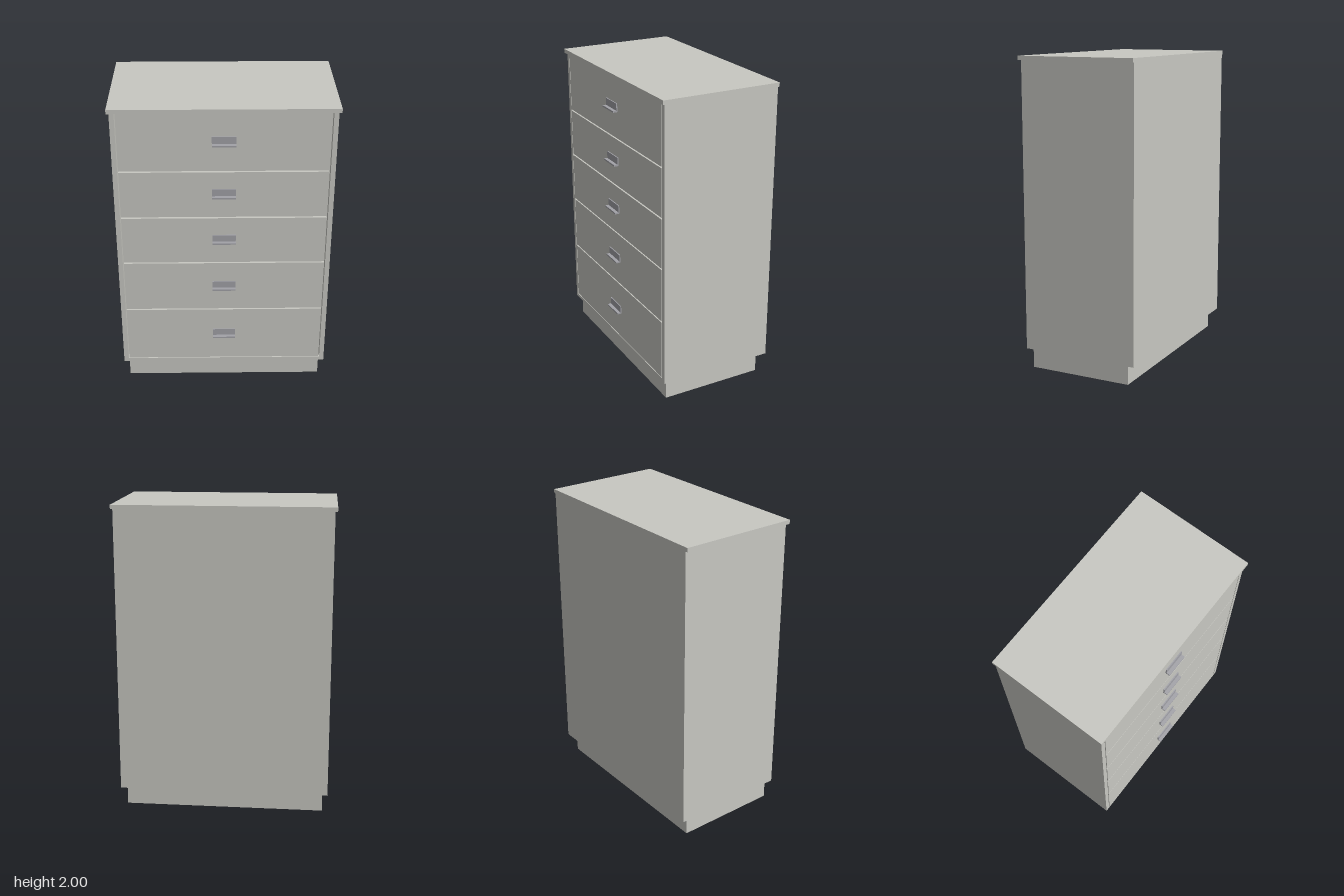
import * as THREE from 'three';

export function createModel() {
  const group = new THREE.Group();
  group.name = 'chestOfDrawers';
  const paint = new THREE.MeshStandardMaterial({ color: 0xc8c8c2 });
  paint.name = 'pale grey paint';
  const metal = new THREE.MeshStandardMaterial({ color: 0xa2a2a8 });
  metal.name = 'grey metal';

  // Box given by its minimum and maximum corners
  function box(name, material, [x0, y0, z0], [x1, y1, z1], parent = group) {
    const mesh = new THREE.Mesh(new THREE.BoxGeometry(x1 - x0, y1 - y0, z1 - z0), material);
    mesh.position.set((x0 + x1) / 2, (y0 + y1) / 2, (z0 + z1) / 2);
    mesh.name = name;
    parent.add(mesh);
    return mesh;
  }

  const back = -0.4, front = 0.37, bottom = 0.132, top = 1.974;

  // Recessed plinth and overhanging top
  box('plinth', paint, [-0.648, 0, -0.345], [0.648, bottom, 0.34]);
  box('topPanel', paint, [-0.696, top, back], [0.696, 2, 0.386]);

  // Carcass panels
  box('rightSide', paint, [-0.681, bottom, back], [-0.651, top, front]);
  box('leftSide', paint, [0.651, bottom, back], [0.681, top, front]);
  box('bottomPanel', paint, [-0.651, bottom, back], [0.651, 0.157, front]);
  box('backPanel', paint, [-0.651, 0.157, back], [0.651, top, -0.38]);

  // Drawers: front bottom, front top, handle bottom
  const drawers = [
    [0.162, 0.558, 0.344],
    [0.567, 0.922, 0.727],
    [0.931, 1.256, 1.079],
    [1.266, 1.579, 1.407],
    [1.588, 1.969, 1.762],
  ];
  drawers.forEach(([y0, y1, h], i) => {
    const drawer = new THREE.Group();
    drawer.name = `drawer${i + 1}`;
    group.add(drawer);
    box('drawerFront', paint, [-0.645, y0, 0.345], [0.645, y1, front], drawer);

    // L-shaped pull: upright plate with a ledge along its lower edge
    const handle = new THREE.Group();
    handle.name = 'handle';
    drawer.add(handle);
    box('handlePlate', metal, [-0.074, h, front], [0.074, h + 0.056, 0.377], handle);
    box('handleLedge', metal, [-0.074, h, 0.377], [0.074, h + 0.01, 0.4], handle);
  });

  return group;
}
